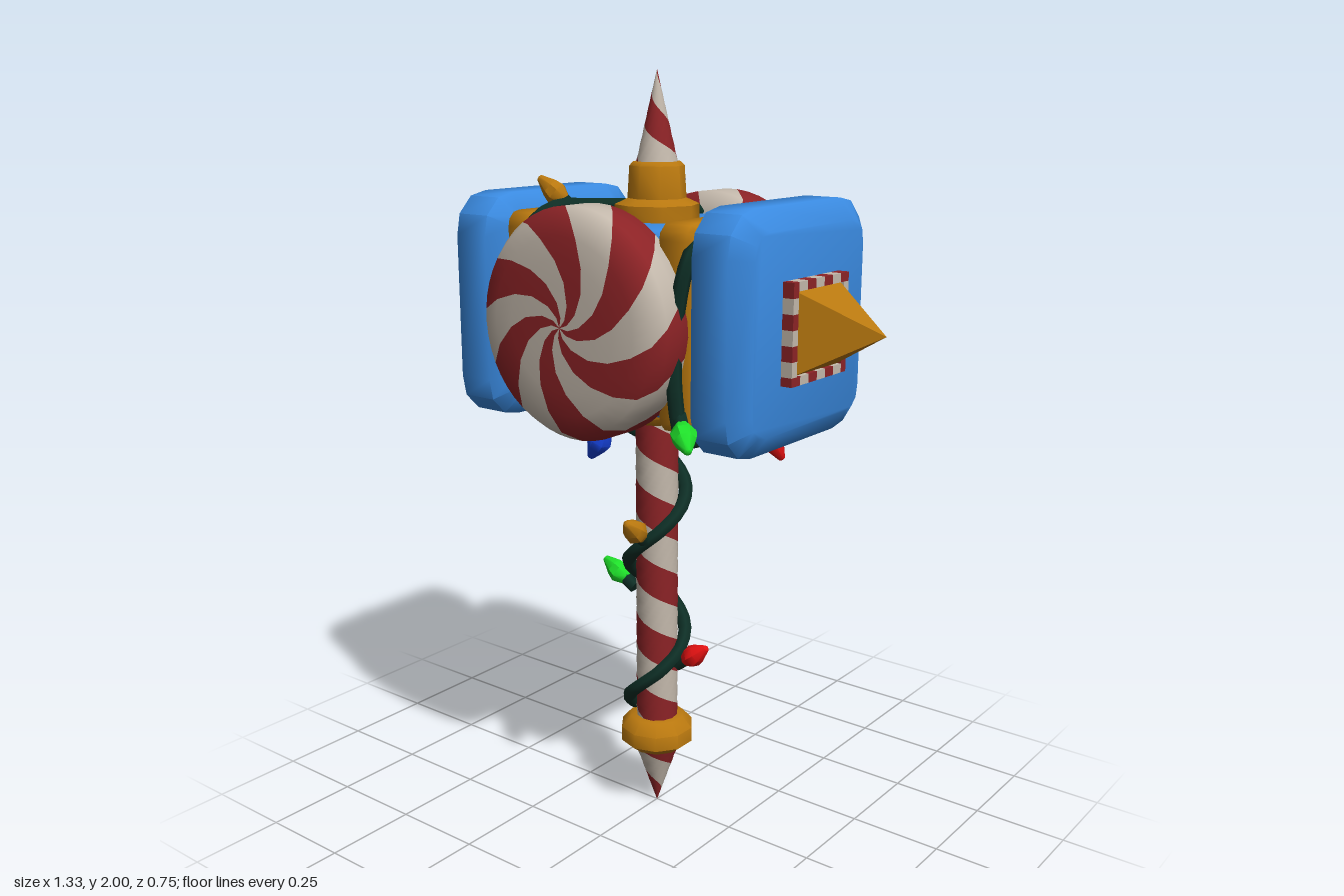
import * as THREE from 'three';
import { toCreasedNormals } from 'three/addons/utils/BufferGeometryUtils.js';

const mat = (name, color, side = THREE.FrontSide) => {
  const m = new THREE.MeshStandardMaterial({ color, side });
  m.name = name;
  return m;
};

const HEAD_Y = 1.41;
const V = (a) => new THREE.Vector3(...a);

// Surface of revolution with twisted stripes; rows are [radius, height, twist in degrees].
// Group 0 is the first stripe colour, group 1 the second.
function stripedLathe(rows, stripes, steps) {
  const cols = stripes * 2 * steps, pos = [], bins = [[], []];
  rows.forEach(([r, y, twist]) => {
    for (let j = 0; j < cols; j++) {
      const a = (j / cols) * Math.PI * 2 + THREE.MathUtils.degToRad(twist);
      pos.push(r * Math.sin(a), y, r * Math.cos(a));
    }
  });
  for (let i = 0; i < rows.length - 1; i++) {
    for (let j = 0; j < cols; j++) {
      const a = i * cols + j, b = i * cols + ((j + 1) % cols);
      bins[Math.floor(j / steps) % 2].push(a, b, b + cols, a, b + cols, a + cols);
    }
  }
  const g = new THREE.BufferGeometry();
  g.setAttribute('position', new THREE.Float32BufferAttribute(pos, 3));
  g.setIndex([...bins[0], ...bins[1]]);
  g.addGroup(0, bins[0].length, 0);
  g.addGroup(bins[0].length, bins[1].length, 1);
  g.computeVertexNormals();
  return g;
}

// Straight or tapered candy-cane rod with one helical stripe
function caneRod(r0, y0, r1, y1, pitch, phase) {
  const n = Math.ceil(((y1 - y0) / pitch) * 16), rows = [];
  for (let i = 0; i <= n; i++) {
    const t = i / n, y = y0 + (y1 - y0) * t;
    rows.push([r0 + (r1 - r0) * t, y, phase - (360 * (y - y0)) / pitch]);
  }
  return stripedLathe(rows, 1, 6);
}

// Square slab across x, with chamfered faces and rounded corners
function slab(x0, x1, half, bevelX, bevelY, corner) {
  const h = half - bevelY, s = new THREE.Shape();
  s.moveTo(-h + corner, -h);
  s.lineTo(h - corner, -h); s.quadraticCurveTo(h, -h, h, -h + corner);
  s.lineTo(h, h - corner); s.quadraticCurveTo(h, h, h - corner, h);
  s.lineTo(-h + corner, h); s.quadraticCurveTo(-h, h, -h, h - corner);
  s.lineTo(-h, -h + corner); s.quadraticCurveTo(-h, -h, -h + corner, -h);
  const g = new THREE.ExtrudeGeometry(s, {
    depth: x1 - x0 - 2 * bevelX, bevelThickness: bevelX, bevelSize: bevelY,
    bevelSegments: 1, curveSegments: 3,
  });
  g.translate(0, 0, bevelX).rotateY(Math.PI / 2).translate(x0, HEAD_Y, 0);
  return toCreasedNormals(g, 1.0);
}

const turned = (pts, sides) =>
  toCreasedNormals(new THREE.LatheGeometry(pts.map((p) => new THREE.Vector2(...p)), sides), 0.85);

export function createModel() {
  const group = new THREE.Group();
  const blue = mat('blue', 0x3a8ae0), gold = mat('gold', 0xb9780f);
  const red = mat('candy red', 0x8c2326), white = mat('candy white', 0xc4b9ac);
  const green = mat('garland green', 0x0e2f26, THREE.DoubleSide);
  const lights = {
    red: mat('red light', 0xf51414), green: mat('green light', 0x1fe02a), blue: mat('blue light', 0x1744e0), gold,
  };
  const add = (name, geo, material, parent = group) => {
    const m = new THREE.Mesh(geo, material);
    m.name = name;
    parent.add(m);
    return m;
  };
  const candy = [red, white];

  // Handle and the two pointed tips
  add('handle', caneRod(0.057, 0.25, 0.057, 1.18, 0.19, 40), candy);
  add('topSpike', caneRod(0.057, 1.76, 0.0005, 2, 0.16, 200), candy);
  add('bottomSpike', caneRod(0.0005, 0, 0.062, 0.18, 0.17, 0), candy);

  // Gold fittings
  add('pommelRing', turned([[0.05, 0.17], [0.07, 0.175], [0.102, 0.2], [0.102, 0.24], [0.075, 0.27], [0.05, 0.272]], 10), gold);
  add('topCollar', turned([[0.108, 1.62], [0.108, 1.675], [0.075, 1.69], [0.07, 1.77], [0.06, 1.78], [0.03, 1.78]], 8), gold);
  add('bottomCollar', turned([[0.05, 1.115], [0.085, 1.118], [0.106, 1.14], [0.106, 1.2]], 10), gold);

  // Hammer head core
  add('headCore', slab(-0.22, 0.22, 0.226, 0.01, 0.01, 0.02), blue);

  // Mirrored ends: band, block, striped frame and pyramid
  for (const side of [1, -1]) {
    const end = new THREE.Group();
    end.name = side > 0 ? 'leftEnd' : 'rightEnd';
    end.rotation.y = side > 0 ? 0 : Math.PI;
    group.add(end);
    add('goldBand', slab(0.192, 0.29, 0.25, 0.012, 0.012, 0.03), gold, end);
    add('endBlock', slab(0.286, 0.46, 0.29, 0.038, 0.052, 0.06), blue, end);

    const frame = new THREE.Group();
    frame.name = 'stripedFrame';
    frame.position.set(0.47, HEAD_Y, 0);
    end.add(frame);
    const len = 0.222, n = 6;
    for (let k = 0; k < 4; k++) {
      const edge = new THREE.Group();
      edge.name = 'frameEdge';
      edge.rotation.x = (k * Math.PI) / 2;
      frame.add(edge);
      for (let i = 0; i < n; i++) {
        const piece = add('frameStripe', new THREE.BoxGeometry(0.04, 0.022, len / n), i % 2 ? white : red, edge);
        piece.position.set(0, 0.111, -0.122 + (i + 0.5) * (len / n));
      }
    }
    const spike = new THREE.ConeGeometry(0.102 * Math.SQRT2, 0.19, 4, 1);
    spike.rotateY(Math.PI / 4).rotateZ(-Math.PI / 2).translate(0.57, HEAD_Y, 0);
    add('pyramidSpike', toCreasedNormals(spike, 0.3), gold, end);
  }

  // Swirled peppermint discs on front and back
  const mint = stripedLathe([
    [0, 0.19, 32], [0.2, 0.19, 32], [0.255, 0.2, 27], [0.283, 0.235, 21], [0.283, 0.28, 12],
    [0.283, 0.325, 4], [0.262, 0.355, -4], [0.215, 0.368, -13], [0.16, 0.373, -25],
    [0.11, 0.375, -38], [0.06, 0.376, -54], [0.025, 0.376, -70], [0, 0.376, -85],
  ], 6, 4);
  mint.rotateX(Math.PI / 2);
  for (const [name, turn] of [['frontMint', 0], ['backMint', Math.PI]]) {
    const m = add(name, mint, candy);
    m.position.y = HEAD_Y;
    m.rotation.y = turn;
  }

  // Garland: winds up the handle, then loops round the head
  const path = [];
  for (let i = 0; i <= 16; i++) {
    const a = (i * Math.PI) / 4;
    path.push(new THREE.Vector3(-0.077 * Math.cos(a), 0.28 + i * 0.05, 0.077 * Math.sin(a)));
  }
  const loop = [
    [-0.14, 1.1, 0.03], [-0.2, 1.15, 0.14], [-0.225, 1.24, 0.25], [-0.23, 1.42, 0.265],
    [-0.2, 1.62, 0.255], [-0.185, 1.665, 0.2], [-0.165, 1.665, 0.05], [-0.115, 1.655, -0.1],
    [-0.02, 1.645, -0.2], [0.1, 1.5, -0.25], [0.22, 1.3, -0.265], [0.24, 1.16, -0.24],
    [0.25, 1.14, -0.1], [0.26, 1.14, 0.1], [0.275, 1.16, 0.25], [0.265, 1.25, 0.27],
    [0.26, 1.42, 0.265], [0.285, 1.58, 0.25], [0.29, 1.635, 0.2],
  ];
  path.push(...loop.map(V));
  add('garland', new THREE.TubeGeometry(new THREE.CatmullRomCurve3(path), 130, 0.019, 6), green);

  // Light bulbs, each from socket point to tip
  const bulb = turned([[0, 0.15], [0.17, 0.17], [0.29, 0.42], [0.24, 0.62], [0.08, 0.97], [0, 1]], 7);
  const socket = new THREE.CylinderGeometry(0.17, 0.17, 0.4, 6).translate(0, 0.05, 0);
  const bulbs = [
    ['red', [0.085, 0.445, 0], [0.17, 0.51, 0]],
    ['green', [-0.09, 0.635, 0], [-0.185, 0.69, 0]],
    ['gold', [0.02, 0.81, 0.085], [0.035, 0.88, 0.175]],
    ['blue', [-0.135, 1.085, 0.04], [-0.2, 0.985, 0.04]],
    ['red', [0.255, 1.12, -0.12], [0.305, 1.025, -0.14]],
    ['green', [0.28, 1.205, 0.27], [0.355, 1.155, 0.34]],
    ['blue', [-0.1, 1.66, -0.1], [-0.025, 1.735, -0.15]],
    ['gold', [-0.18, 1.67, 0.13], [-0.255, 1.74, 0.16]],
  ];
  bulbs.forEach(([color, from, to]) => {
    const holder = new THREE.Group(), dir = V(to).sub(V(from));
    holder.name = color + 'Bulb';
    holder.position.copy(V(from));
    holder.scale.setScalar(dir.length());
    holder.quaternion.setFromUnitVectors(new THREE.Vector3(0, 1, 0), dir.normalize());
    add('bulbGlass', bulb, lights[color], holder);
    add('bulbSocket', socket, green, holder);
    group.add(holder);
  });

  return group;
}
